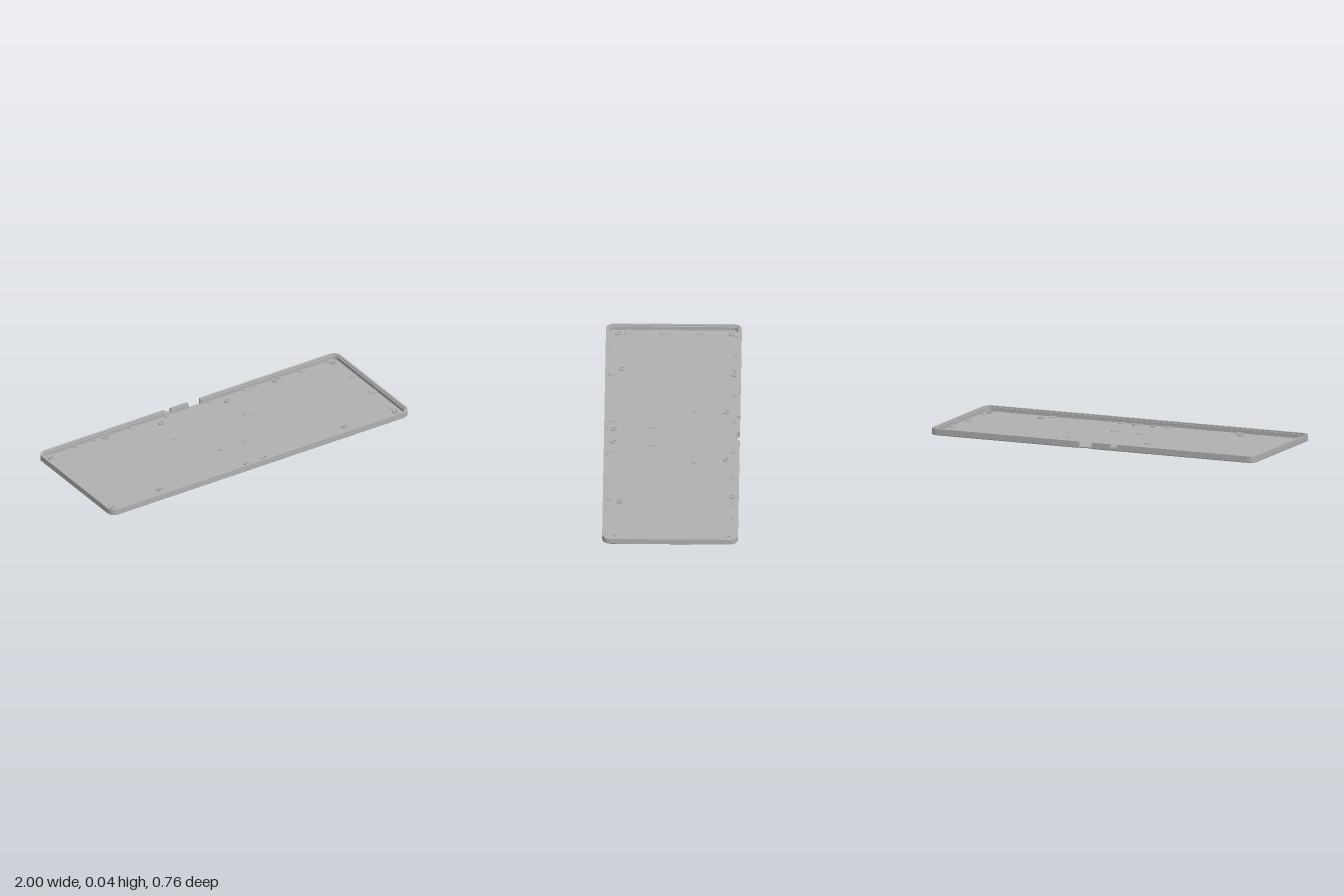
import * as THREE from 'three';
import { toCreasedNormals } from 'three/addons/utils/BufferGeometryUtils.js';

const HALF_W = 1, HALF_D = 0.38, CORNER = 0.045;
const FLOOR = 0.007, LEDGE = 0.03, TOP = 0.037;

// Rounded rectangle walked clockwise from xStart to xEnd on the back edge
function outline(inset, xStart, xEnd) {
  const w = HALF_W - inset, d = HALF_D - inset, r = CORNER - inset;
  const pts = [new THREE.Vector2(xStart, d)];
  [[1, 1], [1, -1], [-1, -1], [-1, 1]].forEach(([sx, sy], corner) => {
    for (let i = 0; i <= 10; i++) {
      const a = Math.PI / 2 * (1 - corner - i / 10);
      pts.push(new THREE.Vector2(sx * (w - r) + r * Math.cos(a), sy * (d - r) + r * Math.sin(a)));
    }
  });
  pts.push(new THREE.Vector2(xEnd, d));
  return pts;
}

// Stand a flat shape up between two heights
function slab(shape, y0, y1) {
  const geo = new THREE.ExtrudeGeometry(shape, { depth: y1 - y0, bevelEnabled: false, curveSegments: 16 });
  return geo.rotateX(-Math.PI / 2).translate(0, y0, 0);
}

export function createModel() {
  const group = new THREE.Group();
  const grey = new THREE.MeshStandardMaterial({ color: 0xb0b0b0 });
  grey.name = 'plain grey';

  const add = (name, geo, parent = group) => {
    const mesh = new THREE.Mesh(toCreasedNormals(geo, 0.5), grey);
    mesh.name = name;
    parent.add(mesh);
    return mesh;
  };

  // Floor, cut by the port notch, with a chamfered lower edge
  const floorShape = new THREE.Shape([
    ...outline(0, 0.08, 0), new THREE.Vector2(0, 0.37), new THREE.Vector2(0.08, 0.37),
  ]);
  const chamfer = slab(floorShape, 0, 0.004);
  const pos = chamfer.attributes.position;
  for (let i = 0; i < pos.count; i++) {
    if (pos.getY(i) < 0.002) {
      pos.setX(i, pos.getX(i) * 0.996);
      pos.setZ(i, pos.getZ(i) * 0.9895);
    }
  }
  add('floorChamfer', chamfer);
  add('floor', slab(floorShape, 0.004, FLOOR));

  // Stepped wall: the side slot only cuts the upper layers
  const wall = (name, thickness, slotEnd, y0, y1) => {
    const ring = [...outline(0, 0.08, slotEnd), ...outline(thickness, 0.08, slotEnd).reverse()];
    add(name, slab(new THREE.Shape(ring), y0, y1));
  };
  wall('lowerWall', 0.02, 0, FLOOR, 0.02);
  wall('ledgeWall', 0.02, -0.155, 0.02, LEDGE);
  wall('rim', 0.012, -0.155, LEDGE, TOP);

  // Short wall piece between the slot and the notch
  const piece = (name, thickness, y0, y1) => {
    const geo = new THREE.BoxGeometry(0.115, y1 - y0, thickness);
    add(name, geo.translate(-0.0575, (y0 + y1) / 2, -HALF_D + thickness / 2));
  };
  piece('portWall', 0.02, 0.02, LEDGE);
  piece('portRim', 0.012, LEDGE, TOP);

  // Round support pads, mirrored left and right
  const pads = new THREE.Group();
  pads.name = 'supportPads';
  group.add(pads);
  const padSpots = [
    [0.94, -0.353], [0.75, -0.357], [0.615, -0.357], [0.38, -0.357], [0.142, -0.357],
    [0.957, -0.147], [0.957, 0.055], [0.957, 0.257], [0.238, -0.135],
    [0.082, 0.108], [0.142, 0.342], [0.575, 0.342],
  ];
  const padGeo = new THREE.CylinderGeometry(0.022, 0.022, 0.004, 28);
  for (const [x, z] of padSpots) {
    for (const side of [-1, 1]) add('supportPad', padGeo, pads).position.set(side * x, FLOOR + 0.002, z);
  }

  // Screw posts with open centres, mirrored left and right
  const posts = new THREE.Group();
  posts.name = 'screwPosts';
  group.add(posts);
  const postShape = new THREE.Shape().absarc(0, 0, 0.018, 0, Math.PI * 2);
  postShape.holes.push(new THREE.Path().absarc(0, 0, 0.009, 0, Math.PI * 2, true));
  const postGeo = slab(postShape, FLOOR, 0.015);
  const postSpots = [[0.943, -0.325], [0.565, -0.345], [0.22, -0.305], [0.943, 0.31], [0.617, 0.285], [0.058, 0.325]];
  for (const [x, z] of postSpots) {
    for (const side of [-1, 1]) add('screwPost', postGeo, posts).position.set(side * x, 0, z);
  }

  return group;
}
